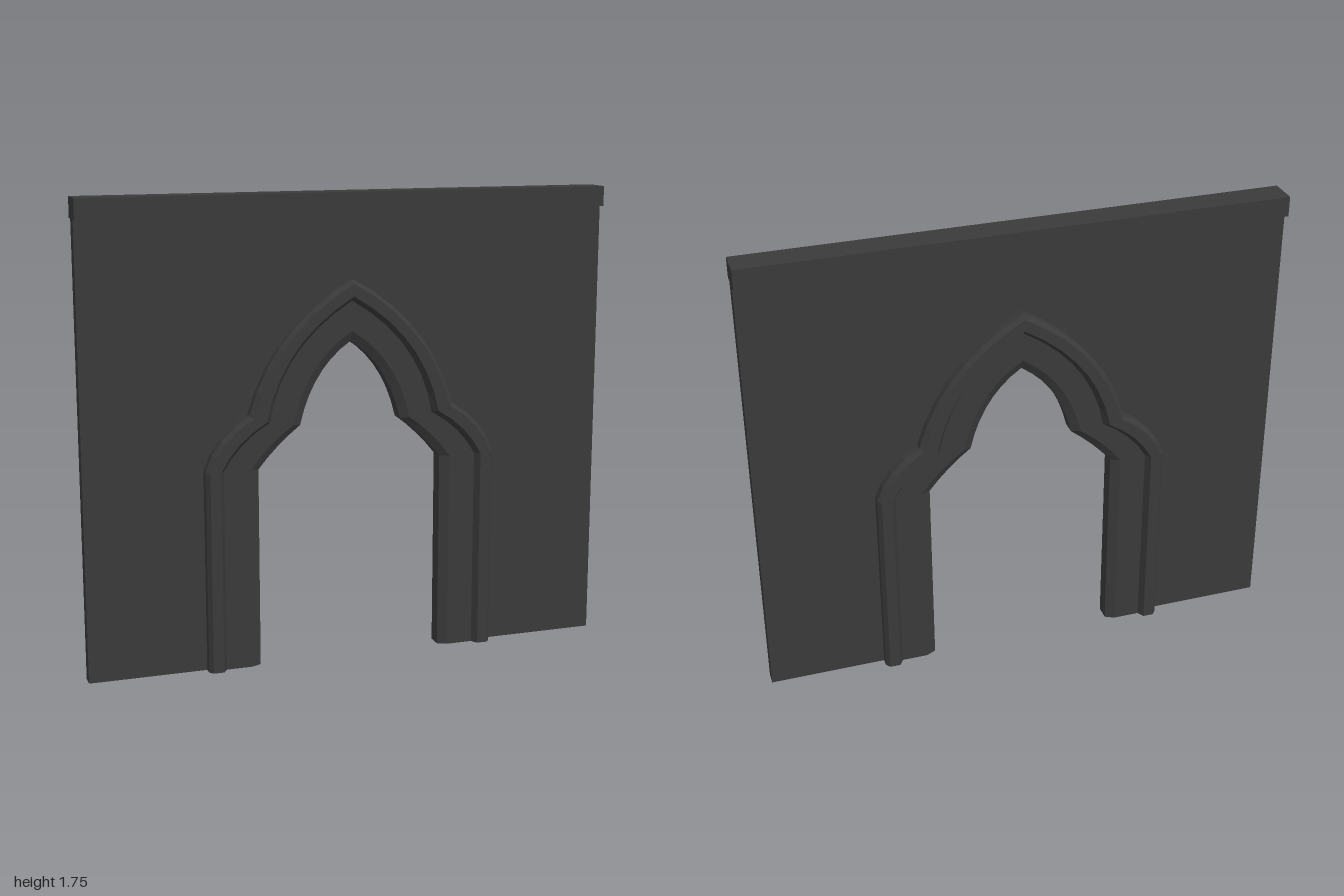
import * as THREE from 'three';

const material = new THREE.MeshStandardMaterial({ color: 0x3a3a3a, flatShading: true });

// Key outlines of the arch: jamb x, spring y, lower arc middle, cusp, upper arc middle, apex y
const OUTER = [0.56, 0.76, 0.5, 0.87, 0.395, 0.955, 0.25, 1.235, 1.437];
const MIDDLE = [0.49, 0.755, 0.417, 0.85, 0.315, 0.925, 0.212, 1.172, 1.357];
const INNER = [0.355, 0.75, 0.28, 0.833, 0.195, 0.905, 0.122, 1.085, 1.207];

// Points of an arc that passes through a middle point
function arc(a, m, b, n) {
  const control = m.clone().multiplyScalar(2).sub(a.clone().add(b).multiplyScalar(0.5));
  return new THREE.QuadraticBezierCurve(a, control, b).getPoints(n);
}

// Full arch outline, from the left foot over the apex to the right foot, for a given jamb x
function archPath(x) {
  const [from, to] = x > MIDDLE[0] ? [OUTER, MIDDLE] : [MIDDLE, INNER];
  const t = (from[0] - x) / (from[0] - to[0]);
  const k = from.map((v, i) => THREE.MathUtils.lerp(v, to[i], t));
  const spring = new THREE.Vector2(k[0], k[1]);
  const cusp = new THREE.Vector2(k[4], k[5]);
  const apex = new THREE.Vector2(0, k[8]);
  const half = [
    new THREE.Vector2(k[0], 0),
    ...arc(spring, new THREE.Vector2(k[2], k[3]), cusp, 4),
    ...arc(cusp, new THREE.Vector2(k[6], k[7]), apex, 7).slice(1),
  ];
  const mirrored = half.slice(0, -1).reverse().map((p) => new THREE.Vector2(-p.x, p.y));
  return [...half, ...mirrored];
}

// Moulding section as [jamb x, z]: raised outer roll, recessed face, chamfered reveal
const front = [
  [0.56, 0.055], [0.546, 0.072], [0.506, 0.072], [0.49, 0.046], [0.39, 0.046], [0.355, 0.028],
];
const section = [...front, ...front.slice().reverse().map(([x, z]) => [x, -z])];

function sweepSection() {
  const paths = section.map(([x]) => archPath(x));
  const positions = [];
  const index = [];
  const rows = paths[0].length;
  const n = section.length;
  for (let i = 0; i < rows; i++) {
    for (let j = 0; j < n; j++) positions.push(paths[j][i].x, paths[j][i].y, section[j][1]);
  }
  for (let i = 0; i < rows - 1; i++) {
    for (let j = 0; j < n; j++) {
      const a = i * n + j, b = i * n + ((j + 1) % n);
      index.push(a, a + n, b + n, a, b + n, b);
    }
  }
  const geometry = new THREE.BufferGeometry();
  geometry.setAttribute('position', new THREE.Float32BufferAttribute(positions, 3));
  geometry.setIndex(index);
  geometry.computeVertexNormals();
  return geometry;
}

export function createModel() {
  const group = new THREE.Group();
  const add = (name, geometry) => {
    const mesh = new THREE.Mesh(geometry, material);
    mesh.name = name;
    group.add(mesh);
    return mesh;
  };

  // Thin wall cut around the arch, its edge buried in the moulding
  const outline = new THREE.Shape([
    new THREE.Vector2(1, 0), new THREE.Vector2(1, 1.69),
    new THREE.Vector2(-1, 1.69), new THREE.Vector2(-1, 0),
    ...archPath(0.525).reverse(),
  ]);
  const wall = new THREE.ExtrudeGeometry(outline, { depth: 0.05, bevelEnabled: false });
  add('wall', wall.translate(0, 0, -0.025));

  // Coping along the top
  add('coping', new THREE.BoxGeometry(2, 0.075, 0.11)).position.y = 1.7125;

  // Arch moulding and the undersides of its two feet
  add('archMoulding', sweepSection());
  for (const [side, name] of [[1, 'leftFoot'], [-1, 'rightFoot']]) {
    const foot = new THREE.Shape(section.map(([x, z]) => new THREE.Vector2(side * x, z)));
    add(name, new THREE.ShapeGeometry(foot).rotateX(Math.PI / 2));
  }
  return group;
}
